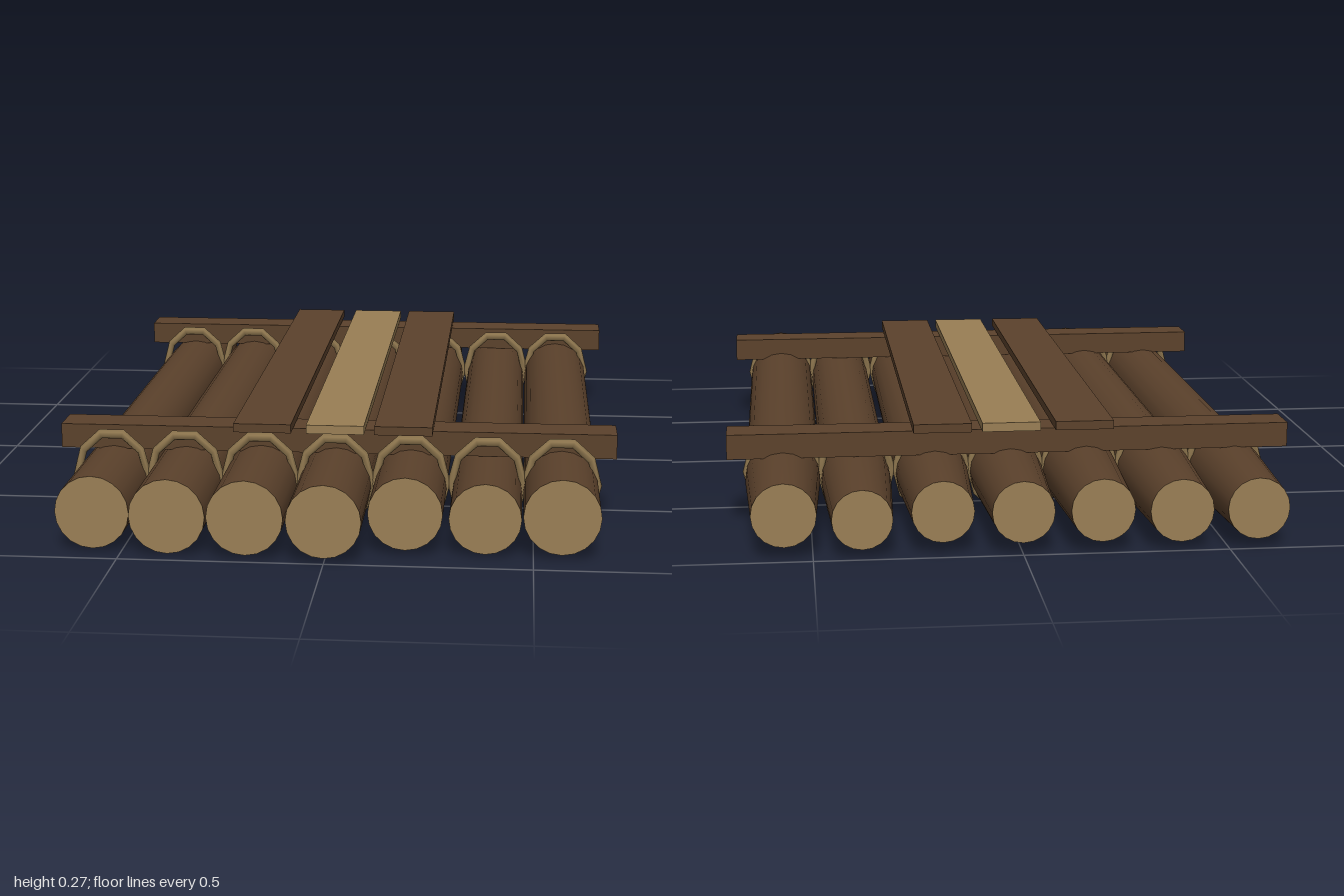
import * as THREE from 'three';

export function createModel() {
  const raft = new THREE.Group();
  raft.name = 'raft';

  const paint = (name, color) => {
    const m = new THREE.MeshStandardMaterial({ color });
    m.name = name;
    return m;
  };
  const bark = paint('dark wood', 0x5c422c);
  const cutWood = paint('pale wood', 0x9a7f55);
  const rope = paint('rope', 0x8f774f);

  const add = (name, geometry, material, x, y, z, parent = raft) => {
    const mesh = new THREE.Mesh(geometry, material);
    mesh.name = name;
    mesh.position.set(x, y, z);
    parent.add(mesh);
    return mesh;
  };

  // Logs: x, y, radius, front end z, back end z
  const logs = [
    [-0.57, 0.104, 0.091, 0.945, -0.995],
    [-0.383, 0.104, 0.093, 0.965, -0.995],
    [-0.191, 0.111, 0.093, 0.985, -1.0],
    [0.0, 0.111, 0.091, 1.0, -0.997],
    [0.19, 0.11, 0.091, 0.918, -0.972],
    [0.383, 0.1, 0.088, 0.912, -0.988],
    [0.568, 0.112, 0.094, 0.922, -0.975],
  ];
  const ropeZ = [0.685, -0.595];

  for (const [x, y, r, front, back] of logs) {
    const log = new THREE.Group();
    log.name = 'log';
    log.position.set(x, y, 0);
    raft.add(log);

    // Round trunk that narrows towards the back
    const endRadius = r * 0.83;
    const profile = [[endRadius, back], [r, -0.65], [r, front]]
      .map(([radius, z]) => new THREE.Vector2(radius, z));
    const trunk = new THREE.LatheGeometry(profile, 20).rotateX(Math.PI / 2);
    add('trunk', trunk, bark, 0, 0, 0, log);

    // Sawn ends
    add('frontEnd', new THREE.CircleGeometry(r, 20), cutWood, 0, 0, front, log);
    add('backEnd', new THREE.CircleGeometry(endRadius, 20).rotateY(Math.PI), cutWood, 0, 0, back, log);

    // Rope loops, taller than wide
    for (const z of ropeZ) {
      const loop = new THREE.TorusGeometry(0.091, 0.01, 6, 10).scale(1, 1.24, 1);
      add('ropeLoop', loop, rope, x, 0.125, z);
    }
  }

  // Cross beams
  for (const z of [0.61, -0.67]) {
    add('crossBeam', new THREE.BoxGeometry(1.41, 0.062, 0.1), bark, 0, 0.219, z);
  }

  // Deck planks, the middle one pale
  const planks = [[-0.181, bark], [0.002, cutWood], [0.173, bark]];
  for (const [x, material] of planks) {
    add('deckPlank', new THREE.BoxGeometry(0.145, 0.022, 1.48), material, x, 0.264, -0.02);
  }

  return raft;
}
